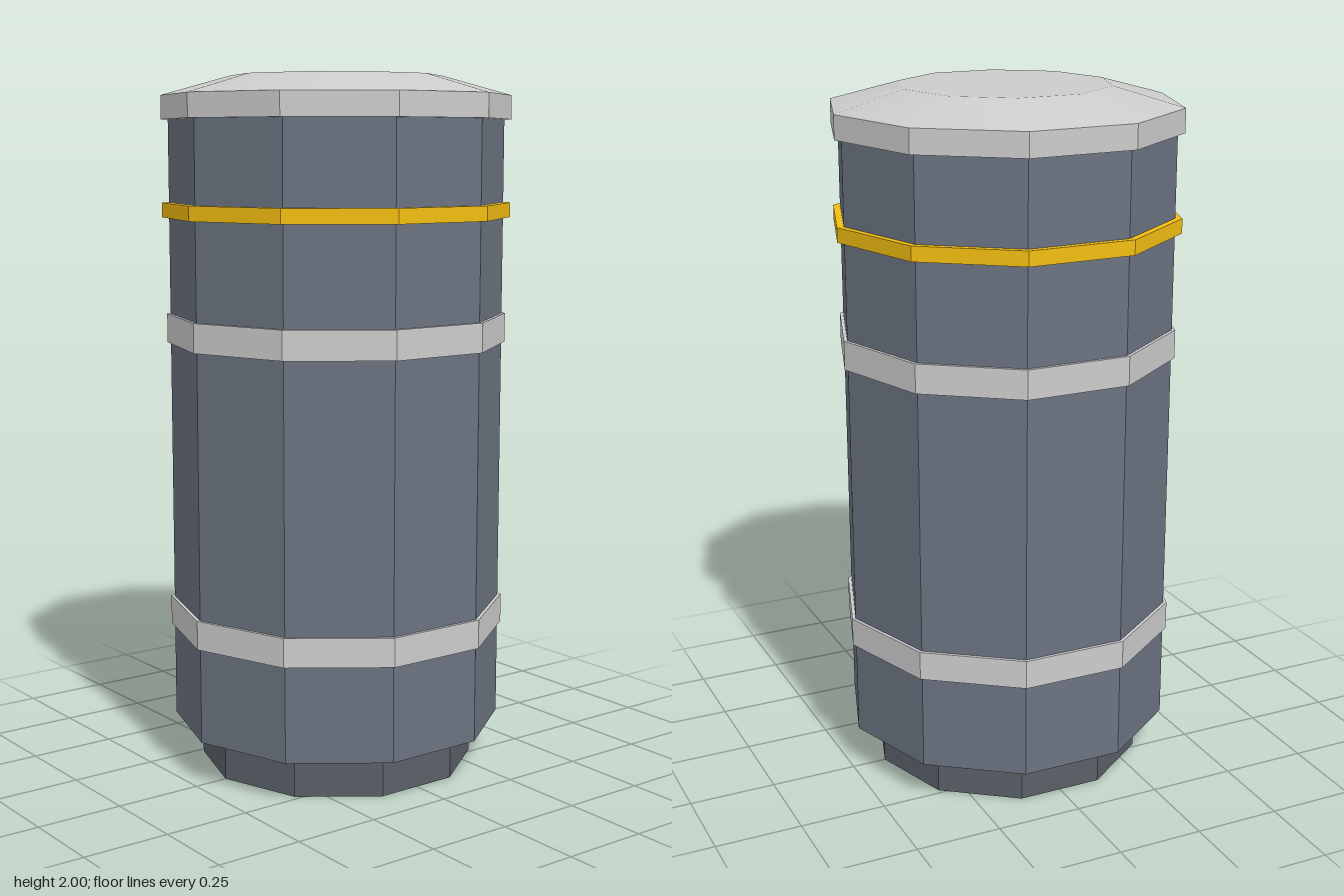
import * as THREE from 'three';

const SIDES = 10;

const paint = (color, flatShading = true) => new THREE.MeshStandardMaterial({ color, flatShading });

// Ten-sided drum from y0 to y1, with a corner on the x axis
function drum(name, rBottom, rTop, y0, y1, material) {
  const geometry = new THREE.CylinderGeometry(rTop, rBottom, y1 - y0, SIDES, 1, false, Math.PI / 2);
  const mesh = new THREE.Mesh(geometry, material);
  mesh.name = name;
  mesh.position.y = (y0 + y1) / 2;
  return mesh;
}

export function createModel() {
  const model = new THREE.Group();
  model.name = 'canister';

  const bodyPaint = paint(0x6b7380);
  const footPaint = paint(0x5a6068);
  const metal = paint(0xcccccc);
  const smoothMetal = paint(0xcccccc, false);
  const yellow = paint(0xf2bd12);

  // Recessed foot and main body
  model.add(drum('foot', 0.4, 0.4, 0, 0.125, footPaint));
  model.add(drum('body', 0.48, 0.48, 0.125, 1.88, bodyPaint));

  // Metal bands and yellow marker ring
  model.add(drum('lowerBand', 0.49, 0.49, 0.4, 0.483, metal));
  model.add(drum('upperBand', 0.49, 0.49, 1.24, 1.323, metal));
  model.add(drum('markerRing', 0.5, 0.5, 1.6, 1.642, yellow));

  // Lid: straight rim and a shallow, softly shaded taper
  const lid = new THREE.Group();
  lid.name = 'lid';
  lid.add(drum('lidRim', 0.5, 0.5, 1.877, 1.945, metal));
  lid.add(drum('lidTop', 0.5, 0.3, 1.945, 2, smoothMetal));
  model.add(lid);

  return model;
}
